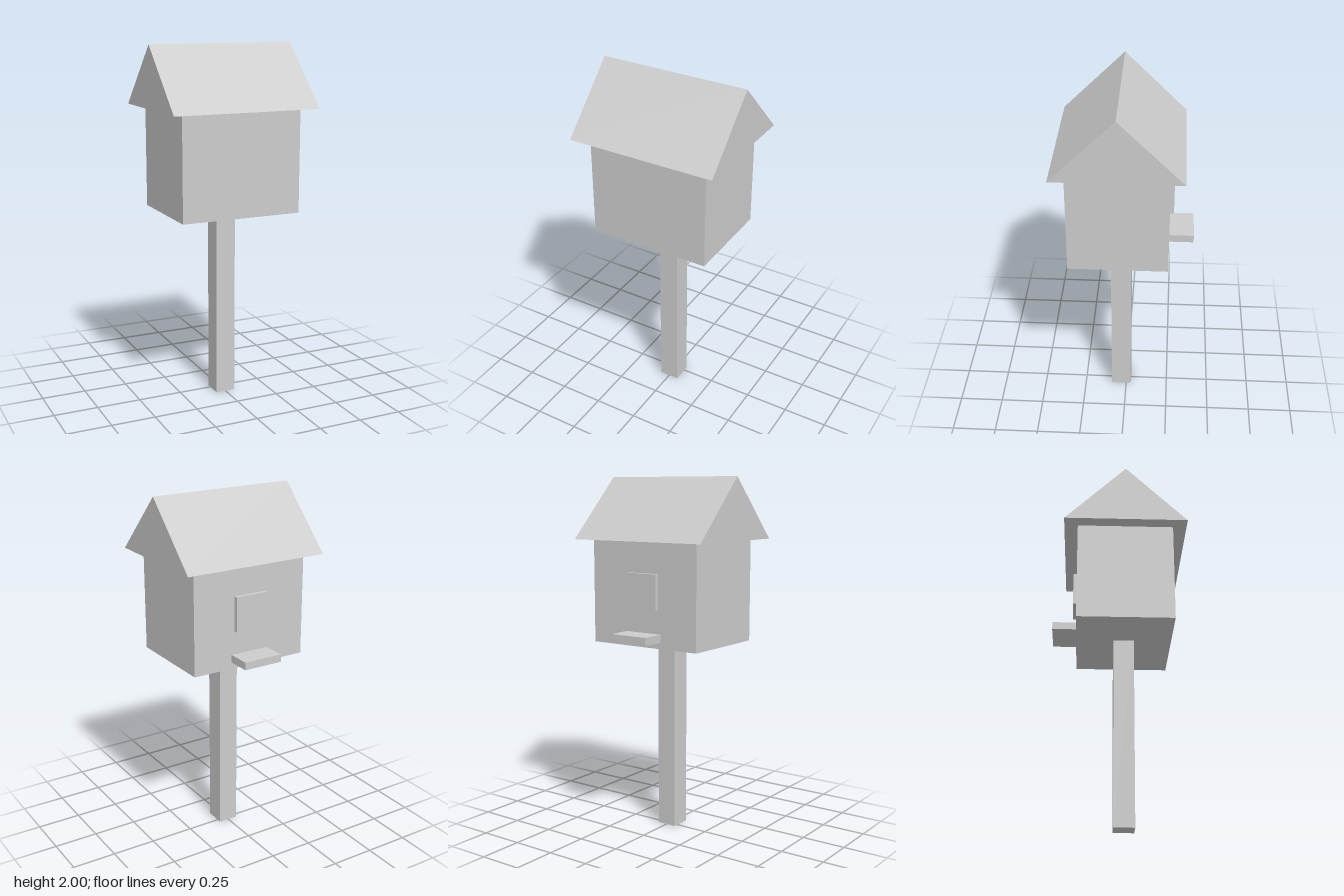
import * as THREE from 'three';

export function createModel() {
  const group = new THREE.Group();
  group.name = 'birdhouse';
  const grey = new THREE.MeshStandardMaterial({ color: 0xcccccc });
  grey.name = 'light grey';
  const axisZ = 0.03; // centre line of the post, house and roof

  // Box given by its width, y range and z range, centred on x
  function box(name, width, y0, y1, z0, z1) {
    const mesh = new THREE.Mesh(new THREE.BoxGeometry(width, y1 - y0, z1 - z0), grey);
    mesh.position.set(0, (y0 + y1) / 2, (z0 + z1) / 2);
    mesh.name = name;
    group.add(mesh);
  }

  box('post', 0.114, 0, 1.08, axisZ - 0.058, axisZ + 0.058);
  box('house', 0.692, 1.08, 1.66, axisZ - 0.27, axisZ + 0.27);
  box('entrancePanel', 0.194, 1.29, 1.485, -0.262, -0.24);
  box('perch', 0.23, 1.117, 1.16, -0.375, -0.24);

  // Gable roof: a triangle extruded along x
  const gable = new THREE.Shape([
    new THREE.Vector2(-0.346, 1.658),
    new THREE.Vector2(0.346, 1.658),
    new THREE.Vector2(0, 2),
  ]);
  const roofGeometry = new THREE.ExtrudeGeometry(gable, { depth: 0.842, bevelEnabled: false });
  roofGeometry.translate(0, 0, -0.421).rotateY(Math.PI / 2);
  const roof = new THREE.Mesh(roofGeometry, grey);
  roof.position.z = axisZ;
  roof.name = 'roof';
  group.add(roof);

  return group;
}
